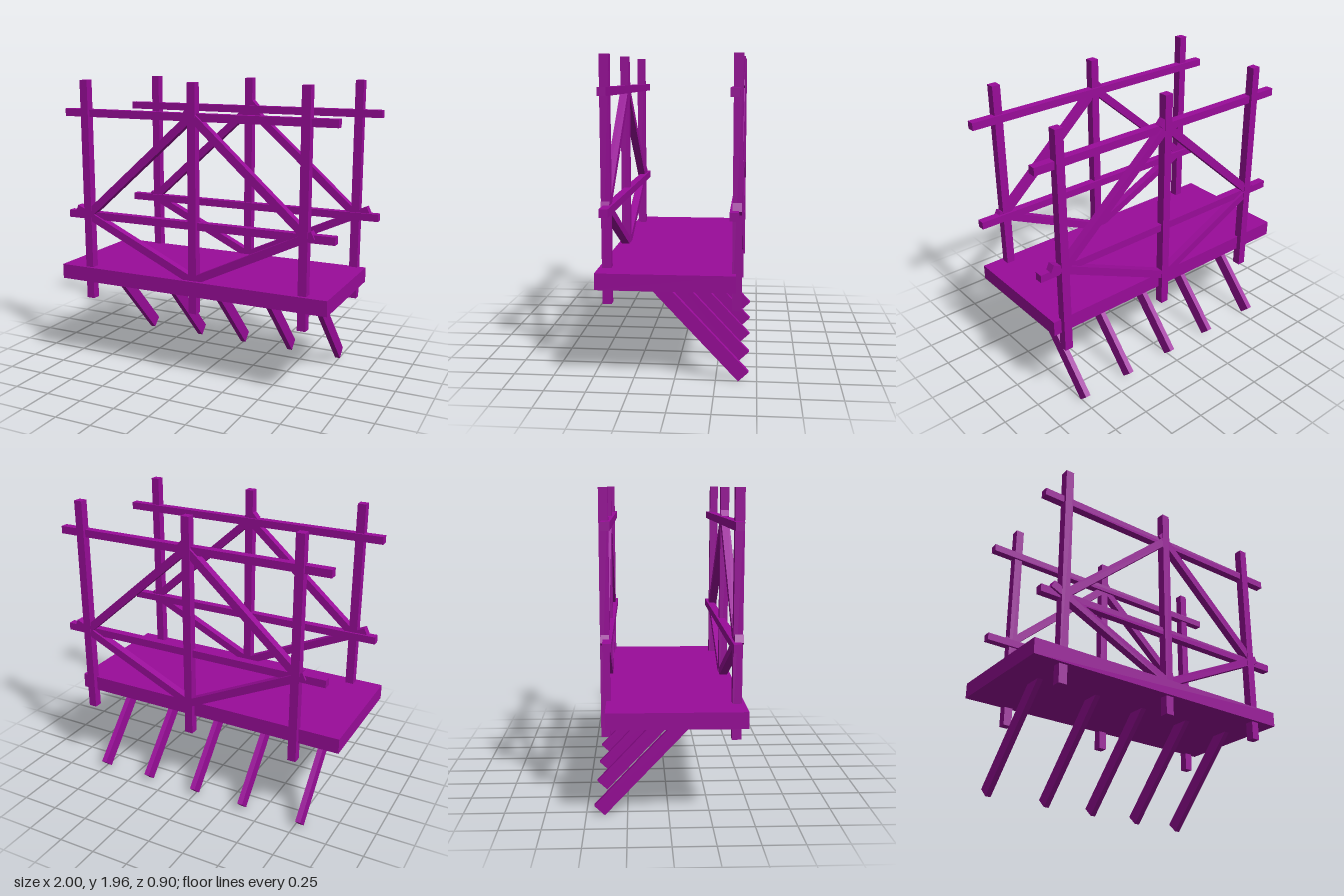
import * as THREE from 'three';

const material = new THREE.MeshStandardMaterial({ color: 0x990c99, flatShading: true });

function block(name, w, h, d, x, y, z) {
  const mesh = new THREE.Mesh(new THREE.BoxGeometry(w, h, d), material);
  mesh.name = name;
  mesh.position.set(x, y, z);
  return mesh;
}

// Straight timber between two points, w wide across x and d deep, when lying along its own y
function beam(name, from, to, w, d) {
  const a = new THREE.Vector3(...from);
  const b = new THREE.Vector3(...to);
  const dir = b.clone().sub(a);
  const mid = a.clone().add(b).multiplyScalar(0.5);
  const mesh = block(name, w, dir.length(), d, mid.x, mid.y, mid.z);
  mesh.quaternion.setFromUnitVectors(new THREE.Vector3(0, 1, 0), dir.normalize());
  return mesh;
}

// One side frame: three posts, two rails and four diagonal braces
function sideFrame(name) {
  const frame = new THREE.Group();
  frame.name = name;
  for (const x of [-0.791, 0.002, 0.752]) {
    frame.add(block('post', 0.056, 1.485, 0.056, x, 1.2175, 0.404));
  }
  for (const y of [1.055, 1.745]) {
    frame.add(block('rail', 1.898, 0.05, 0.052, -0.004, y, 0.388));
  }
  const z = 0.403;
  const braces = [
    [[-0.81, 1.045], [0.02, 1.772]],
    [[0.785, 1.05], [-0.043, 1.79]],
    [[-0.88, 1.1], [0.03, 0.68]],
    [[0.81, 1.08], [-0.03, 0.68]],
  ];
  for (const [a, b] of braces) {
    frame.add(beam('brace', [...a, z], [...b, z], 0.052, 0.052));
  }
  return frame;
}

export function createModel() {
  const model = new THREE.Group();
  model.name = 'scaffoldPlatform';

  // Deck
  model.add(block('deck', 1.92, 0.1, 0.825, -0.04, 0.647, 0.04));

  // Side frames: the back one is the front one turned half round
  model.add(sideFrame('frontFrame'));
  const back = sideFrame('backFrame');
  back.rotation.y = Math.PI;
  back.position.set(0.047, 0, 0.027);
  model.add(back);

  // Slanting struts under the deck
  for (const x of [-0.785, -0.365, 0, 0.373, 0.738]) {
    model.add(beam('strut', [x, 0.032, -0.419], [x, 0.64, 0.153], 0.036, 0.087));
  }
  return model;
}
